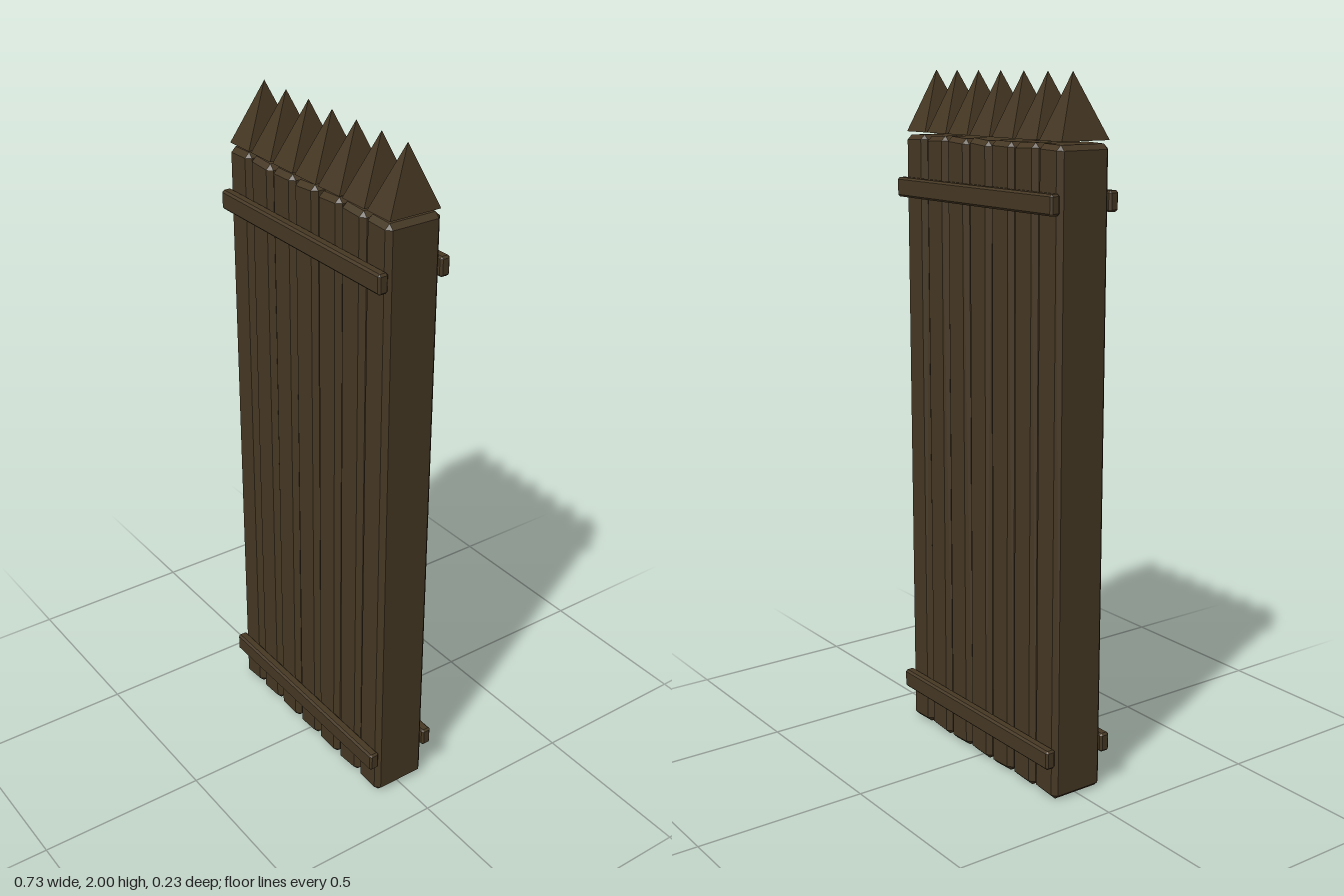
import * as THREE from 'three';
import { ConvexGeometry } from 'three/addons/geometries/ConvexGeometry.js';

// Box with flat chamfered edges; warp(p) may nudge each point
function chamferBox(w, h, d, c, warp = (p) => p) {
  const points = [];
  for (const sx of [-1, 1]) for (const sy of [-1, 1]) for (const sz of [-1, 1]) {
    for (const k of [0, 1, 2]) {
      const inset = [c, c, c];
      inset[k] = 0;
      points.push(warp(new THREE.Vector3(
        sx * (w / 2 - inset[0]), sy * (h / 2 - inset[1]), sz * (d / 2 - inset[2]))));
    }
  }
  return new ConvexGeometry(points);
}

export function createModel() {
  const model = new THREE.Group();
  model.name = 'palisadeFence';
  const wood = new THREE.MeshStandardMaterial({ color: 0x453723 });
  wood.name = 'dark wood';
  wood.flatShading = true;

  const add = (name, geometry, x, y, z) => {
    const mesh = new THREE.Mesh(geometry, wood);
    mesh.name = name;
    mesh.position.set(x, y, z);
    model.add(mesh);
    return mesh;
  };

  // Planks with slightly uneven ends: [bottom slant, top slant, lean]
  const uneven = [
    [0.08, 0.03, 0], [0.05, -0.05, 0], [-0.05, 0.02, 0.001], [0.06, 0.08, -0.001],
    [-0.04, 0.06, 0.001], [0.08, -0.05, -0.001], [-0.03, -0.04, 0],
  ];
  const pitch = 0.1047, height = 1.814;

  // Four-sided spike, apex a little off centre
  const spike = new THREE.ConeGeometry(Math.SQRT1_2, 1, 4, 1).toNonIndexed();
  spike.rotateY(Math.PI / 4);
  spike.scale(0.094, 0.174, 0.158);
  const pos = spike.attributes.position;
  for (let i = 0; i < pos.count; i++) {
    if (pos.getY(i) > 0) pos.setX(i, pos.getX(i) + 0.009);
  }
  spike.computeVertexNormals();

  uneven.forEach(([bottom, top, lean], i) => {
    const x = (i - 3) * pitch;
    const plank = chamferBox(0.097, height, 0.17, 0.014, (p) => {
      p.y += p.x * (p.y < 0 ? bottom : top);
      p.x += lean * Math.sign(p.y);
      return p;
    });
    add('plank' + (i + 1), plank, x, 0.004 + height / 2, 0);
    add('spike' + (i + 1), spike, x - 0.001, 1.913, 0);
  });

  // Cross rails on both faces
  for (const [side, z] of [['front', 0.097], ['back', -0.098]]) {
    for (const [level, y] of [['lower', 0.132], ['upper', 1.668]]) {
      add(side + level + 'Rail', chamferBox(0.73, 0.056, 0.031, 0.006), 0, y, z);
    }
  }
  return model;
}
